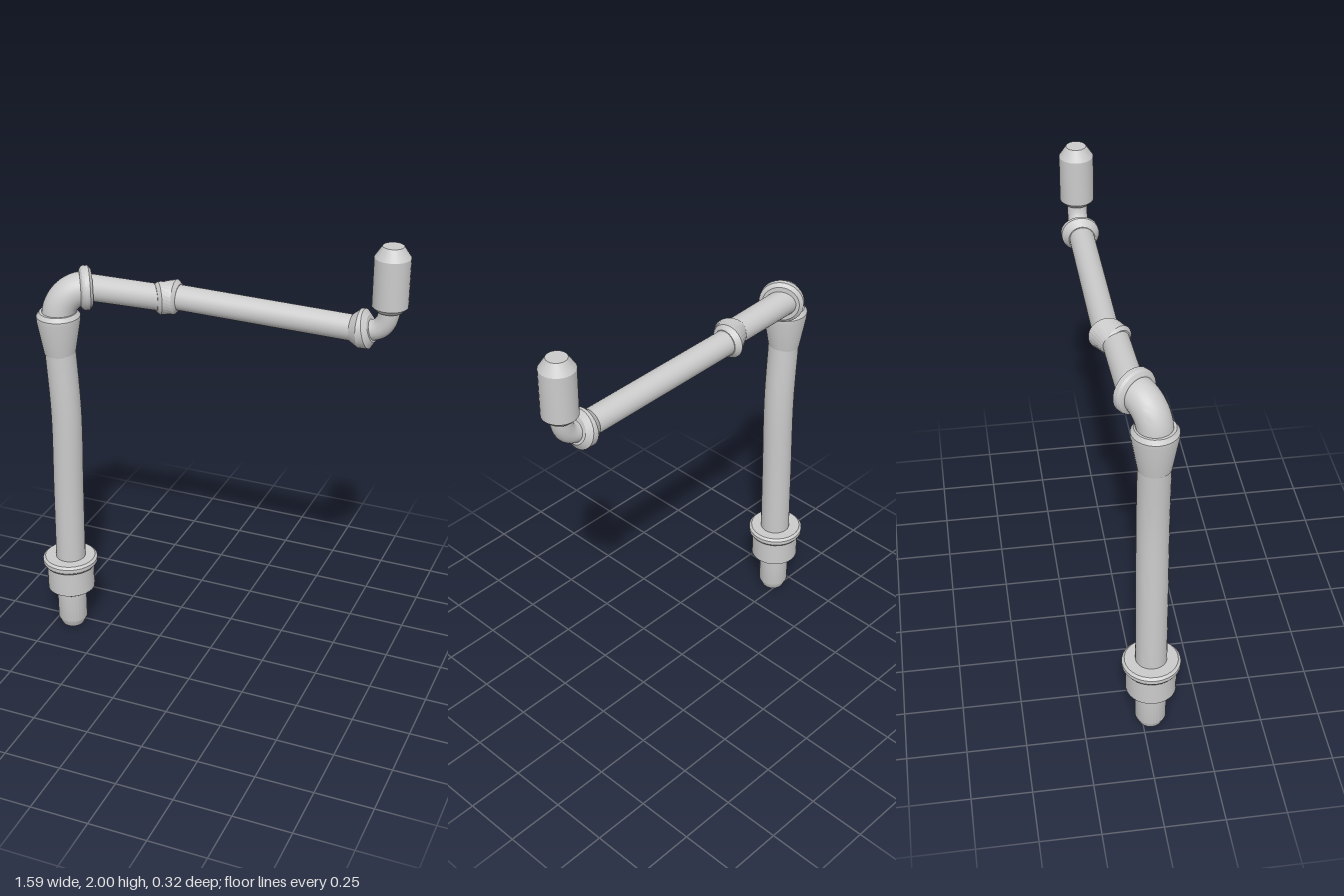
import * as THREE from 'three';
import { toCreasedNormals } from 'three/addons/utils/BufferGeometryUtils.js';

const SIDES = 28;
const UP = new THREE.Vector3(0, 1, 0);
const V = (x, y, z) => new THREE.Vector3(x, y, z);
const material = new THREE.MeshStandardMaterial({ color: 0xcccccc });

// Skin a row of circles, each { c: centre, r: radius, n: axis }, and cap both ends
function pipe(name, rings) {
  const first = rings[0], last = rings[rings.length - 1];
  const all = [{ ...first, r: 0 }, ...rings, { ...last, r: 0 }];
  const pos = [], index = [];
  for (const { c, r, n } of all) {
    const q = new THREE.Quaternion().setFromUnitVectors(UP, n.clone().normalize());
    for (let i = 0; i < SIDES; i++) {
      const a = (i / SIDES) * Math.PI * 2;
      const p = V(r * Math.cos(a), 0, -r * Math.sin(a)).applyQuaternion(q).add(c);
      pos.push(p.x, p.y, p.z);
    }
  }
  for (let j = 0; j < all.length - 1; j++) {
    for (let i = 0; i < SIDES; i++) {
      const a = j * SIDES + i, b = j * SIDES + (i + 1) % SIDES;
      if (j > 0) index.push(a, b, a + SIDES);
      if (j < all.length - 2) index.push(b, b + SIDES, a + SIDES);
    }
  }
  const geo = new THREE.BufferGeometry();
  geo.setAttribute('position', new THREE.Float32BufferAttribute(pos, 3));
  geo.setIndex(index);
  const mesh = new THREE.Mesh(toCreasedNormals(geo, 0.45), material);
  mesh.name = name;
  return mesh;
}

// Circles along one straight axis, from [distance, radius] pairs
const straight = (origin, axis, profile) => {
  const n = axis.clone().normalize();
  return profile.map(([d, r]) => ({ c: origin.clone().addScaledVector(n, d), r, n }));
};

// Circles of equal radius along a curve
const sweep = (curve, r, steps) => Array.from({ length: steps + 1 }, (_, i) => ({
  c: curve.getPoint(i / steps), r, n: curve.getTangent(i / steps),
}));

export function createModel() {
  const model = new THREE.Group();
  model.name = 'jointedPipe';
  const base = V(-0.672, 0, 0.036);
  const X = V(1, 0, 0);

  // Bottom peg and the flanged socket above it
  model.add(pipe('bottomPeg', straight(base, UP, [[0, 0.05], [0.035, 0.066], [0.22, 0.066]])));
  model.add(pipe('baseSocket', straight(base, UP, [
    [0.178, 0.075], [0.2, 0.106], [0.315, 0.106], [0.322, 0.116],
    [0.333, 0.123], [0.35, 0.123], [0.36, 0.112],
  ])));

  // Upright with a slight bow
  const bow = new THREE.CatmullRomCurve3([
    V(-0.67, 0.3, 0.036), V(-0.663, 0.7, 0.036), V(-0.656, 1.08, 0.036), V(-0.671, 1.39, 0.036),
  ]);
  model.add(pipe('upright', sweep(bow, 0.066, 14)));
  model.add(pipe('flaredCup', straight(base, UP, [
    [1.365, 0.067], [1.515, 0.093], [1.535, 0.093], [1.553, 0.08],
  ])));

  // Shoulder elbow, turning from the upright towards the arm
  const shoulder = V(-0.57, 1.65, -0.026);
  const out = V(0.85, 0, -0.52);
  const bend = new THREE.CubicBezierCurve3(
    V(-0.672, 1.52, 0.036), V(-0.672, 1.6, 0.036),
    shoulder.clone().addScaledVector(out, -0.065), shoulder);
  model.add(pipe('shoulderElbow', sweep(bend, 0.071, 14)));
  model.add(pipe('shoulderFlange', straight(shoulder, out, [
    [-0.026, 0.075], [-0.018, 0.089], [-0.008, 0.094], [0.012, 0.094], [0.024, 0.078],
  ])));

  // Short upper arm and the skewed coupling
  model.add(pipe('upperArm', straight(V(-0.58, 1.65, -0.036), V(0.36, 0, -0.012), [[0, 0.057], [0.36, 0.055]])));
  model.add(pipe('coupling', [
    { c: V(-0.258, 1.65, -0.036), r: 0.057, n: V(0.82, 0, -0.57) },
    { c: V(-0.243, 1.65, -0.038), r: 0.068, n: V(0.82, 0, -0.57) },
    { c: V(-0.185, 1.651, -0.076), r: 0.073, n: V(1, 0, -0.1) },
    { c: V(-0.167, 1.651, -0.077), r: 0.056, n: X },
  ]));

  // Long forearm and its tilted end collar
  model.add(pipe('forearm', straight(V(-0.19, 1.651, -0.076), V(0.8, -0.012, 0), [[0, 0.053], [0.8, 0.053]])));
  model.add(pipe('endCollar', [
    { c: V(0.57, 1.64, -0.077), r: 0.056, n: X },
    { c: V(0.605, 1.642, -0.079), r: 0.08, n: V(1, 0.06, 0) },
    { c: V(0.632, 1.644, -0.08), r: 0.08, n: V(1, 0.24, 0) },
    { c: V(0.65, 1.648, -0.08), r: 0.056, n: V(1, 0.3, 0) },
  ]));

  // Small elbow rising into the upright head
  const rise = new THREE.CubicBezierCurve3(
    V(0.63, 1.64, -0.079), V(0.69, 1.642, -0.079), V(0.718, 1.68, -0.079), V(0.718, 1.76, -0.079));
  model.add(pipe('headElbow', sweep(rise, 0.042, 14)));
  model.add(pipe('head', straight(V(0.718, 0, -0.079), UP, [
    [1.735, 0.052], [1.755, 0.072], [1.955, 0.072], [2, 0.042],
  ])));

  return model;
}
